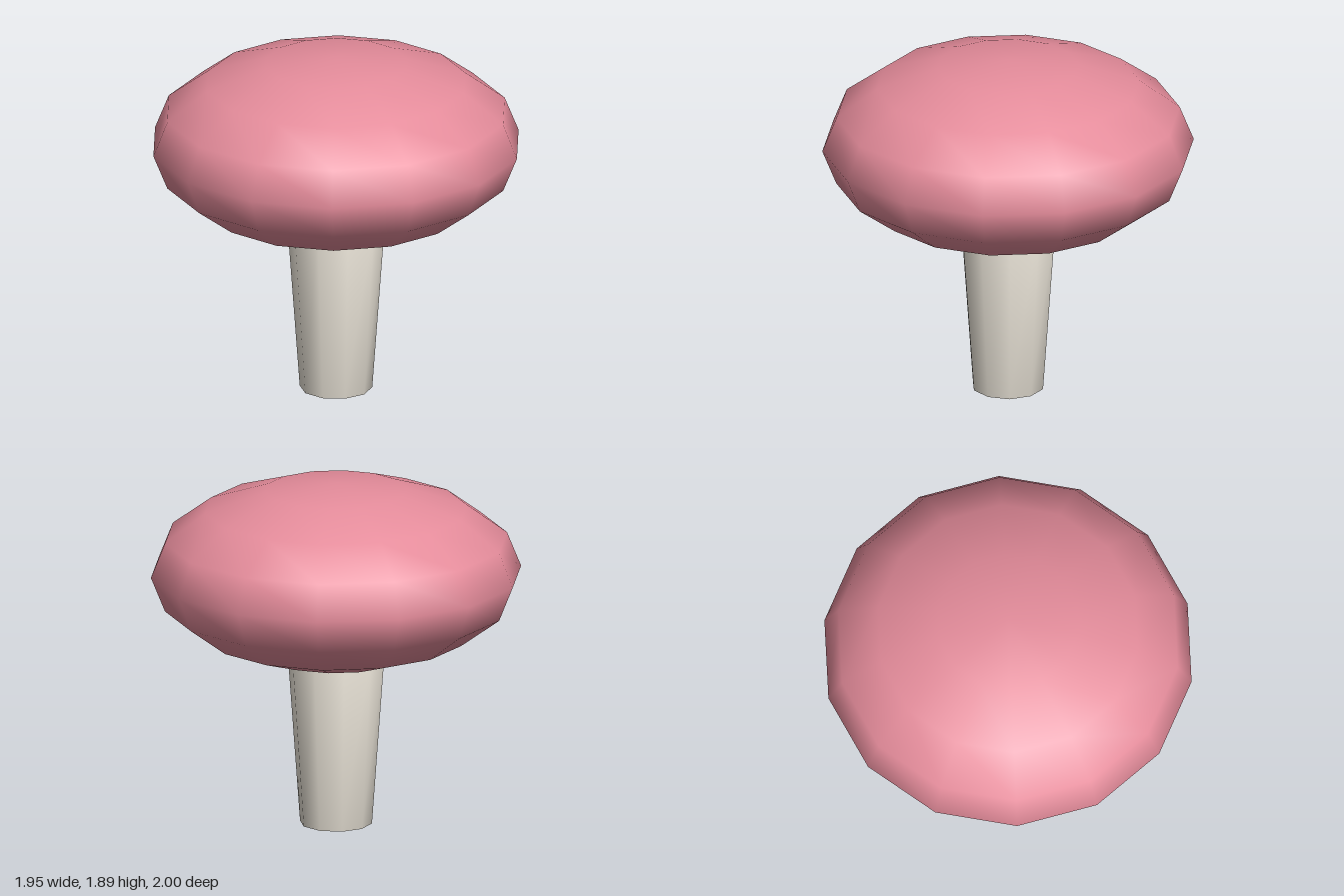
import * as THREE from 'three';
import { mergeVertices } from 'three/addons/utils/BufferGeometryUtils.js';

// Weld every corner so the shading runs smoothly over all edges
function smooth(geometry) {
  geometry.deleteAttribute('uv');
  geometry.deleteAttribute('normal');
  const welded = mergeVertices(geometry, 1e-4);
  welded.computeVertexNormals();
  return welded;
}

function addPart(group, name, geometry, color) {
  const mesh = new THREE.Mesh(geometry, new THREE.MeshStandardMaterial({ color }));
  mesh.name = name;
  group.add(mesh);
  return mesh;
}

export function createModel() {
  const model = new THREE.Group();
  model.name = 'mushroom';

  // Cap: flattened 14-sided sphere with a corner at the front and back
  const capShape = new THREE.SphereGeometry(1, 14, 8);
  capShape.rotateY(Math.PI / 2);
  capShape.scale(1, 0.495, 1);
  const cap = addPart(model, 'cap', smooth(capShape), 0xe58c9b);
  cap.position.y = 1.395;

  // Stem: 10-sided, widening upwards into the cap
  const height = 1.0;
  const stemShape = new THREE.CylinderGeometry(0.267, 0.195, height, 10);
  const stem = addPart(model, 'stem', smooth(stemShape), 0xe8e2d6);
  stem.position.y = height / 2;

  return model;
}
